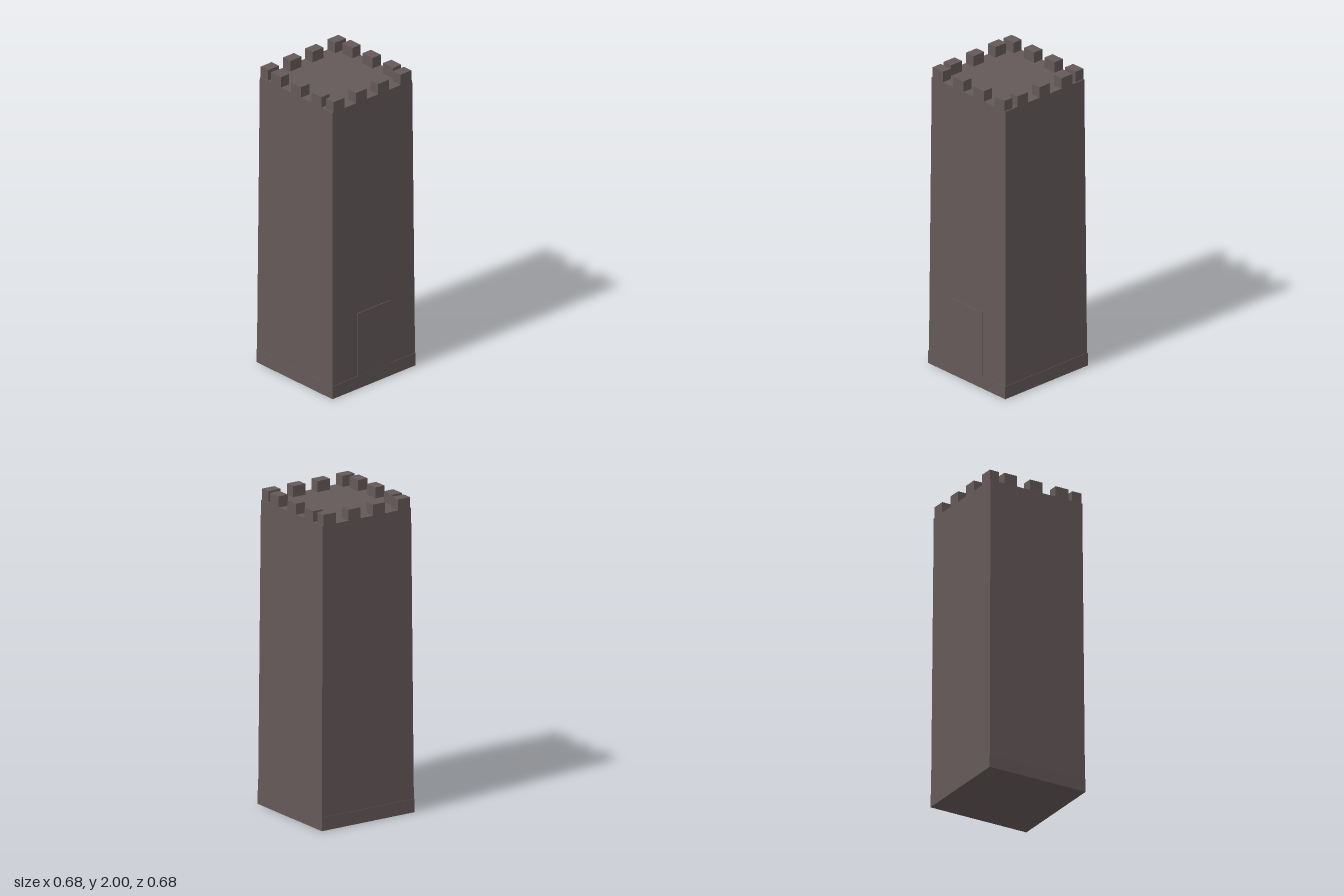
import * as THREE from 'three';

export function createModel() {
  const model = new THREE.Group();
  model.name = 'squareTower';

  const stone = new THREE.MeshStandardMaterial({ color: 0x655959 });
  stone.name = 'dark stone';

  const BASE = 0.342, SHAFT = 0.339, TOP = 0.327; // half widths
  const BASE_H = 0.085, ROOF = 1.93, HEIGHT = 2;

  // Box given by its lower and upper corners
  function block(name, x0, x1, y0, y1, z0, z1, parent = model) {
    const mesh = new THREE.Mesh(new THREE.BoxGeometry(x1 - x0, y1 - y0, z1 - z0), stone);
    mesh.position.set((x0 + x1) / 2, (y0 + y1) / 2, (z0 + z1) / 2);
    mesh.name = name;
    parent.add(mesh);
    return mesh;
  }

  // Low plinth
  block('plinth', -BASE, BASE, 0, BASE_H, -BASE, BASE);

  // Shaft, narrowing slightly towards the roof
  const shaft = block('shaft', -SHAFT, SHAFT, BASE_H, ROOF, -SHAFT, SHAFT);
  const p = shaft.geometry.attributes.position;
  for (let i = 0; i < p.count; i++) {
    if (p.getY(i) > 0) {
      p.setX(i, Math.sign(p.getX(i)) * TOP);
      p.setZ(i, Math.sign(p.getZ(i)) * TOP);
    }
  }
  shaft.geometry.computeVertexNormals();

  // Plain door slab on the front
  block('door', -0.136, 0.136, BASE_H, 0.51, 0.333, 0.3415);

  // Battlements: four on the front and back, three on each side
  const battlements = new THREE.Group();
  battlements.name = 'battlements';
  model.add(battlements);
  const W = 0.045, INNER = 0.26;
  for (const s of [-1, 1]) {
    const a = s < 0 ? -TOP : INNER, b = s < 0 ? -INNER : TOP;
    for (const x of [-0.274, -0.091, 0.091, 0.274])
      block(s > 0 ? 'frontMerlon' : 'backMerlon', x - W, x + W, ROOF, HEIGHT, a, b, battlements);
    for (const z of [-0.183, 0, 0.183])
      block(s > 0 ? 'leftMerlon' : 'rightMerlon', a, b, ROOF, HEIGHT, z - W, z + W, battlements);
  }
  return model;
}
